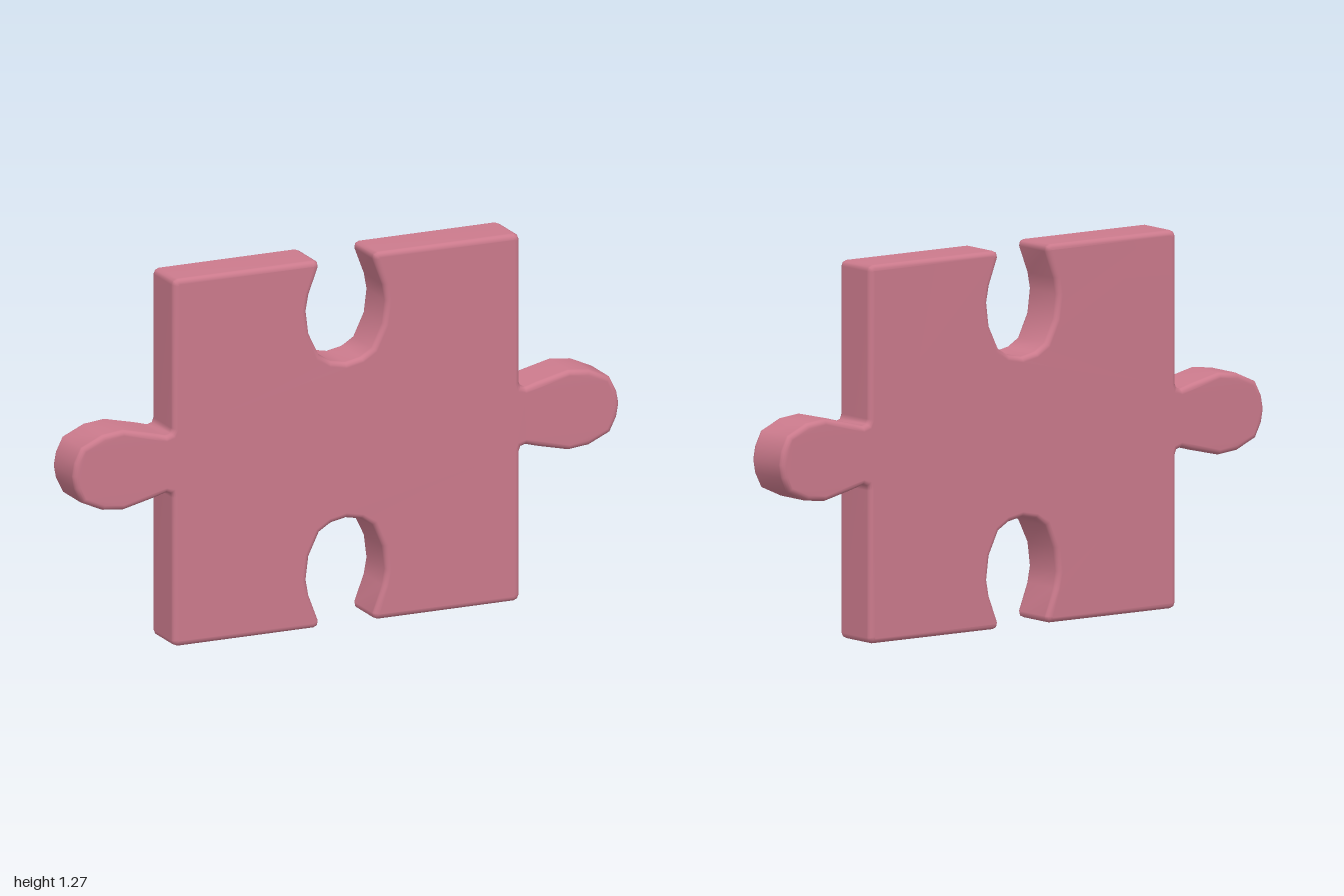
import * as THREE from 'three';
import { mergeVertices } from 'three/addons/utils/BufferGeometryUtils.js';

const HALF = 0.635;      // half the side of the square body
const THICKNESS = 0.17;
const BEVEL = 0.018;

// One quarter of the outline, from the tab tip to the bottom of the socket
const QUARTER = [
  // tab and its neck
  [1, 0], [0.992, 0.045], [0.967, 0.095], [0.89, 0.13], [0.815, 0.138],
  [0.7, 0.111], [0.658, 0.099], [0.641, 0.104], [0.635, 0.12],
  // rounded body corner
  [0.635, 0.615], [0.629, 0.629], [0.615, 0.635],
  // socket lip and bowl
  [0.118, 0.635], [0.104, 0.629], [0.1, 0.612], [0.135, 0.52], [0.145, 0.465],
  [0.135, 0.385], [0.097, 0.306], [0.055, 0.28], [0, 0.269],
];

// Mirror the quarter into the full counter-clockwise outline
function pieceOutline() {
  const upperLeft = QUARTER.slice(0, -1).reverse().map(([x, y]) => [-x, y]);
  const upper = [...QUARTER, ...upperLeft];
  const lower = upper.slice(1, -1).reverse().map(([x, y]) => [x, -y]);
  return [...upper, ...lower].map(([x, y]) => new THREE.Vector2(x, y));
}

export function createModel() {
  const group = new THREE.Group();
  group.name = 'jigsawPiece';

  const pink = new THREE.MeshStandardMaterial({ name: 'dusty pink', color: 0xcb7a8c });

  const depth = THICKNESS - 2 * BEVEL;
  let geometry = new THREE.ExtrudeGeometry(new THREE.Shape(pieceOutline()), {
    depth,
    bevelEnabled: true,
    bevelThickness: BEVEL,
    bevelSize: BEVEL,
    bevelOffset: -BEVEL,
    bevelSegments: 4,
  });
  geometry.translate(0, HALF, -depth / 2);

  // Weld and shade smoothly, so the rounded edges blend into the flat faces
  geometry.deleteAttribute('uv');
  geometry.deleteAttribute('normal');
  geometry.clearGroups();
  geometry = mergeVertices(geometry, 1e-4);
  geometry.computeVertexNormals();

  const piece = new THREE.Mesh(geometry, pink);
  piece.name = 'puzzlePiece';
  group.add(piece);
  return group;
}
